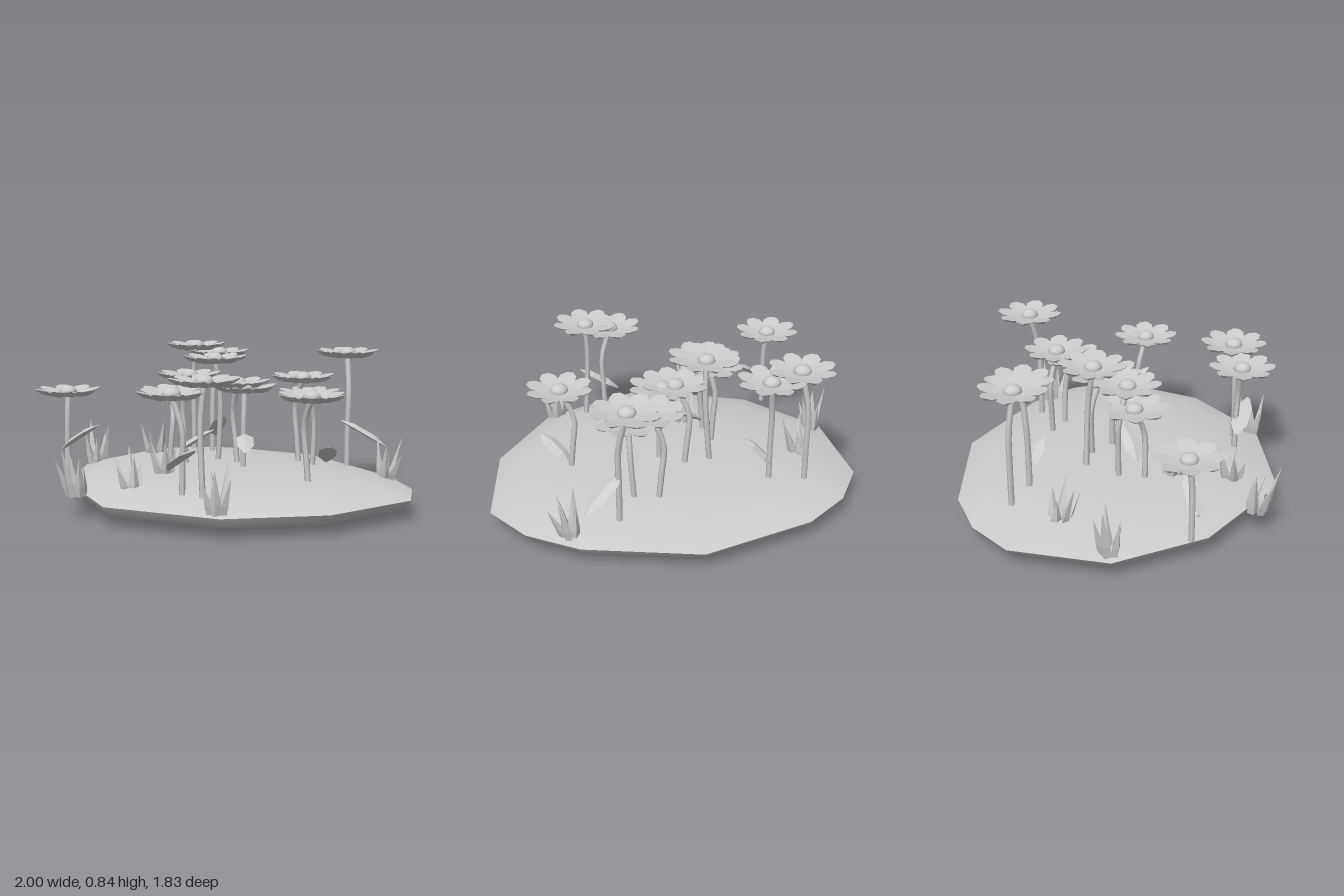
import * as THREE from 'three';

const grey = new THREE.MeshStandardMaterial({ color: 0xcccccc });
grey.name = 'pale grey';
const V = (x, y, z) => new THREE.Vector3(x, y, z);

// Solid skinned over rings of points; flat ones are faceted and capped
function skin(rings, flat) {
  const n = rings[0].length, index = [];
  for (let i = 0; i < rings.length - 1; i++) {
    for (let j = 0; j < n; j++) {
      const a = i * n + j, b = i * n + (j + 1) % n;
      index.push(a, b, a + n, b, b + n, a + n);
    }
  }
  const e = (rings.length - 1) * n;
  for (let j = 1; flat && j < n - 1; j++) index.push(0, j + 1, j, e, e + j, e + j + 1);
  let g = new THREE.BufferGeometry();
  g.setAttribute('position', new THREE.Float32BufferAttribute(rings.flat(2), 3));
  g.setIndex(index);
  if (flat) g = g.toNonIndexed();
  g.computeVertexNormals();
  return g;
}

// Diamond-section blade along +x; sections are [x, halfWidth, halfThickness, lift]
const blade = (sections) => skin(sections.map(([x, w, h, y]) =>
  [[x, y + h, 0], [x, y, w], [x, y - h, 0], [x, y, -w]]), true);

// Petal with a flat upper face and a keel beneath; sections are [x, halfWidth, depth, lift]
const petalGeo = skin([[0.03, 0.018, 0.02, -0.008], [0.1, 0.048, 0.026, 0.002],
  [0.148, 0.046, 0.022, 0.012], [0.178, 0.018, 0.008, 0.018]].map(([x, w, h, y]) =>
  [[x, y, w], [x, y - h, 0], [x, y, -w]]), true);
const leafGeo = blade([[0, 0.01, 0.005, 0], [0.25, 0.046, 0.015, 0.008],
  [0.7, 0.046, 0.015, 0.008], [1, 0.006, 0.003, 0]]);
const grassGeo = blade([[0, 0.028, 0.022, 0], [0.25, 0.028, 0.02, 0], [1, 0.001, 0.001, 0]]);
const centreGeo = new THREE.SphereGeometry(0.048, 12, 8).scale(1, 0.7, 1);

function add(parent, geo, name) {
  const m = new THREE.Mesh(geo, grey);
  m.name = name;
  parent.add(m);
  return m;
}

// Lay a blade from one point to another, its width kept level
function span(parent, geo, name, from, to) {
  const m = add(parent, geo, name);
  const x = to.clone().sub(from), length = x.length();
  x.normalize();
  const z = x.clone().cross(V(0, 1, 0)).normalize();
  const y = z.clone().cross(x);
  m.quaternion.setFromRotationMatrix(new THREE.Matrix4().makeBasis(x, y, z));
  m.position.copy(from);
  m.scale.x = length;
}

// Ground outline, from the back round by +x
const outline = [[-0.02, -0.93], [0.58, -0.765], [0.84, -0.59], [1, -0.35], [0.91, 0.19],
  [0.58, 0.625], [-0.02, 0.85], [-0.62, 0.6], [-0.97, 0.19], [-1, -0.34],
  [-0.855, -0.58], [-0.62, -0.76]];
const groundRing = ([s, y]) => outline.map(([x, z]) => [x * s, y, z * s]);

// Flower head x, y, z; stem foot x, z; sideways bow of the stem
const flowers = [
  [-0.64, 0.81, -0.41, -0.68, -0.43, 0], [-0.47, 0.775, -0.44, -0.49, -0.4, 0],
  [-0.72, 0.605, 0.51, -0.71, 0.53, 0], [-0.2, 0.78, -0.13, -0.22, -0.17, 0.03],
  [-0.21, 0.7, 0.06, -0.27, 0.03, -0.02], [-0.29, 0.61, 0.12, -0.26, 0.17, 0.02],
  [-0.03, 0.655, -0.14, -0.07, -0.18, -0.03], [0.04, 0.635, -0.12, 0.05, -0.1, 0],
  [0.58, 0.64, -0.05, 0.54, -0.08, -0.03], [0.32, 0.81, -0.67, 0.36, -0.63, 0],
  [0.17, 0.675, -0.46, 0.13, -0.48, -0.03], [0.27, 0.6, -0.4, 0.25, -0.45, 0.02],
  [0.36, 0.75, 0.51, 0.37, 0.53, -0.02], [0.21, 0.68, 0.59, 0.25, 0.56, 0.01],
];

// Leaf start and end
const leaves = [
  [0.34, 0.43, -0.6, 0.55, 0.29, -0.74], [-0.71, 0.29, 0.56, -0.52, 0.43, 0.46],
  [-0.49, 0.27, -0.41, -0.36, 0.41, -0.36], [-0.23, 0.28, 0.12, -0.08, 0.4, 0],
  [0.17, 0.29, 0.58, 0.39, 0.42, 0.6], [0.56, 0.28, -0.2, 0.69, 0.39, -0.06],
  [0.06, 0.38, -0.1, 0.2, 0.31, 0.04],
];

// Grass tuft x, foot y, z, height, lean in x and z
const tufts = [
  [0.62, 0.13, -0.65, 0.25, 0.03, 0], [-0.73, 0.15, -0.15, 0.23, 0.02, 0.03],
  [-0.9, 0.12, 0.16, 0.27, 0, 0], [-0.16, 0.17, 0.3, 0.21, 0, 0.02],
  [-0.08, 0.14, 0.61, 0.23, -0.03, 0], [-0.31, 0.12, 0.79, 0.26, 0, 0.04],
  [0.54, 0.13, 0.6, 0.25, 0, 0],
];

export function createModel() {
  const model = new THREE.Group();
  model.name = 'flowerPatch';

  // Low mound with a shallow bowl-shaped underside
  const top = [[0.001, 0.2], [0.5, 0.193], [0.82, 0.168], [1, 0.112]];
  const under = [[1, 0.112], [0.96, 0.06], [0.62, 0.015], [0.001, 0]];
  add(model, skin(top.map(groundRing), false), 'groundTop');
  add(model, skin(under.map(groundRing), false), 'groundUnderside');

  flowers.forEach(([x, y, z, fx, fz, bow], i) => {
    const flower = new THREE.Group();
    flower.name = 'flower';
    model.add(flower);
    const path = new THREE.CatmullRomCurve3([
      V(fx, 0.14, fz),
      V(fx + bow * 0.6, 0.14 + (y - 0.14) * 0.35, fz),
      V(fx + bow, 0.14 + (y - 0.14) * 0.68, fz + (z - fz) * 0.2),
      V(x, y - 0.01, z)]);
    add(flower, new THREE.TubeGeometry(path, 8, 0.016, 6), 'stem');
    const head = new THREE.Group();
    head.name = 'flowerHead';
    head.position.set(x, y, z);
    head.rotation.y = 0.12 + (i % 3) * 0.1;
    flower.add(head);
    for (let k = 0; k < 8; k++) {
      add(head, petalGeo, 'petal').rotation.y = k * Math.PI / 4;
    }
    add(head, centreGeo, 'flowerCentre');
  });

  for (const [a, b, c, d, e, f] of leaves) span(model, leafGeo, 'leaf', V(a, b, c), V(d, e, f));

  // Tufts of five splayed spikes
  tufts.forEach(([x, y, z, h, lx, lz], i) => {
    const tuft = new THREE.Group();
    tuft.name = 'grassTuft';
    model.add(tuft);
    for (let k = 0; k < 5; k++) {
      const a = i + k * Math.PI * 0.4, c = Math.cos(a), s = Math.sin(a);
      const tall = h * (0.6 + 0.4 * ((k * 2 + i) % 5) / 4);
      span(tuft, grassGeo, 'grassBlade', V(x + c * 0.03, y, z + s * 0.035),
        V(x + c * 0.075 + lx, y + tall, z + s * 0.075 + lz));
    }
  });
  return model;
}
